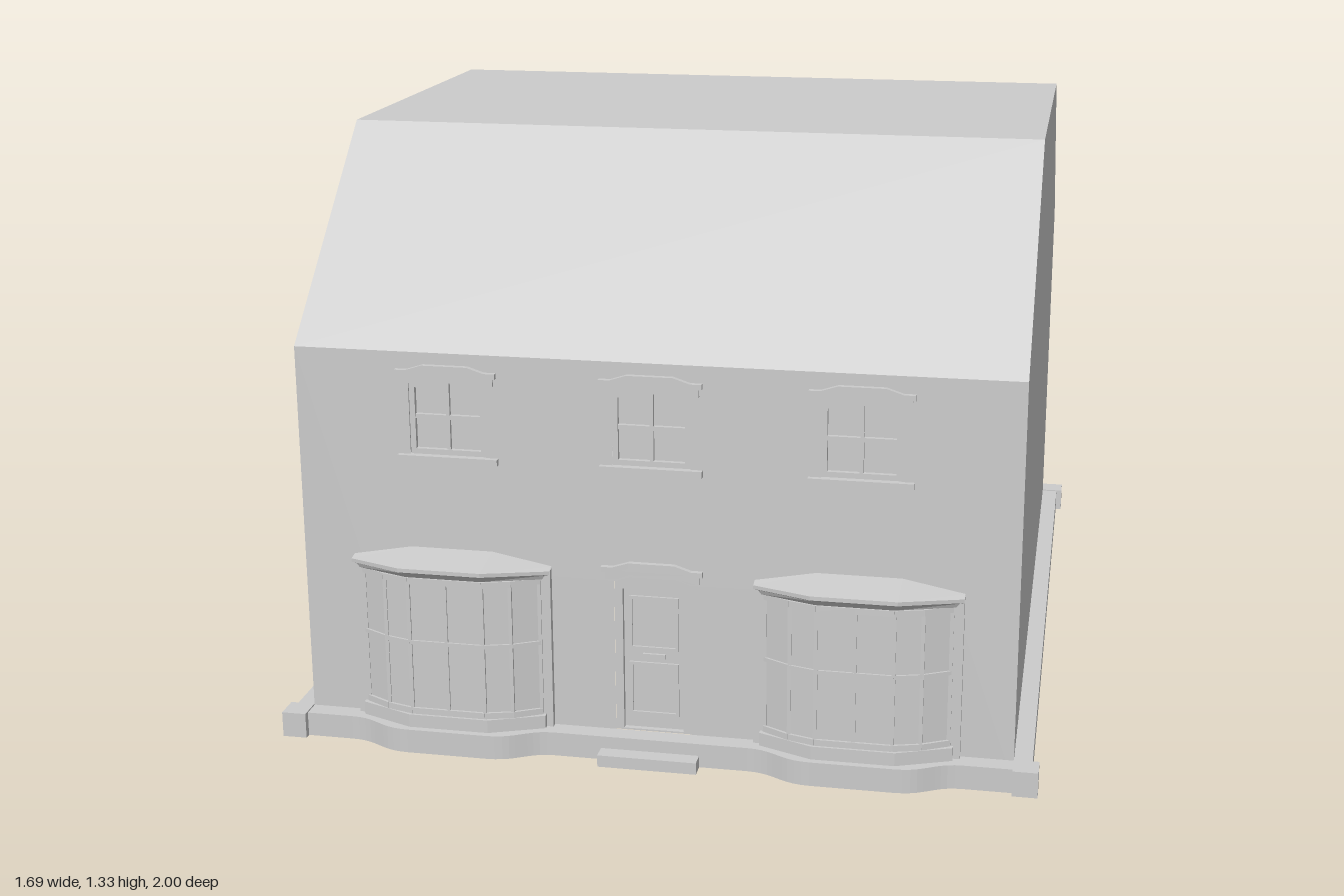
import * as THREE from 'three';

const mat = new THREE.MeshStandardMaterial({ color: 0xcccccc, side: THREE.DoubleSide, flatShading: true });
const W = 0.79, D = 0.9, EAVE = 0.9, RIDGE = 1.325, FLAT = 0.45, BASE = 0.055;

function add(parent, name, geometry, x = 0, y = 0, z = 0) {
  const mesh = new THREE.Mesh(geometry, mat);
  mesh.name = name;
  mesh.position.set(x, y, z);
  parent.add(mesh);
  return mesh;
}
// box given by its limits
function block(parent, name, x0, x1, y0, y1, z0, z1) {
  return add(parent, name, new THREE.BoxGeometry(x1 - x0, y1 - y0, z1 - z0), (x0 + x1) / 2, (y0 + y1) / 2, (z0 + z1) / 2);
}
const poly = (pts, Type = THREE.Shape) => new Type(pts.map(p => new THREE.Vector2(...p)));
const rect = (x0, x1, y0, y1) => [[x0, y0], [x1, y0], [x1, y1], [x0, y1]];
const extrude = (shape, depth) => new THREE.ExtrudeGeometry(shape, { depth, bevelEnabled: false, curveSegments: 10 });
// plan shapes are drawn as (x, -z) and pulled upwards
const plan = (shape, height) => extrude(shape, height).rotateX(-Math.PI / 2);

// opening with a shallow arched head
const arched = (x, w, y0, y1, rise = 0.012) =>
  [[x - w, y0], [x + w, y0], [x + w, y1], [x + w * 0.6, y1 + rise], [x - w * 0.6, y1 + rise], [x - w, y1]];

function frame(parent, name, outer, inner, depth, z) {
  const shape = poly(outer);
  shape.holes.push(poly(inner, THREE.Path));
  return add(parent, name, extrude(shape, depth), 0, 0, z);
}

// stepped hood moulding, bottom of its ends at y = 0
function hood(parent, x, y) {
  const band = (w, lo, hi) => {
    const top = [[w, hi], [w - 0.025, hi], [0.05, hi + 0.012]];
    const low = [[w, lo], [w - 0.025, lo], [0.05, lo + 0.012]];
    const right = [...low].reverse().concat(top);
    return poly(right.concat([...right].reverse().map(([a, b]) => [-a, b])));
  };
  add(parent, 'hoodLower', extrude(band(0.105, 0, 0.02), 0.006), x, y, D);
  add(parent, 'hoodUpper', extrude(band(0.112, 0.018, 0.03), 0.012), x, y, D);
}

function sashWindow(parent, x) {
  const g = new THREE.Group();
  g.name = 'upperWindow';
  parent.add(g);
  frame(g, 'windowFrame', arched(x, 0.085, 0.67, 0.832), arched(x, 0.073, 0.682, 0.82), 0.014, D - 0.018);
  add(g, 'windowGlass', new THREE.ShapeGeometry(poly(arched(x, 0.085, 0.67, 0.832))), 0, 0, D - 0.015);
  block(g, 'windowMullion', x - 0.004, x + 0.004, 0.675, 0.838, D - 0.018, D - 0.006);
  block(g, 'windowTransom', x - 0.08, x + 0.08, 0.75, 0.76, D - 0.018, D - 0.005);
  block(g, 'windowSill', x - 0.112, x + 0.112, 0.655, 0.67, D - 0.01, D + 0.012);
  hood(g, x, 0.832);
}

function door(parent) {
  const g = new THREE.Group();
  g.name = 'door';
  parent.add(g);
  frame(g, 'doorFrame', arched(0, 0.085, BASE, 0.405), arched(0, 0.067, BASE + 0.004, 0.388), 0.018, D - 0.02);
  add(g, 'doorLeaf', new THREE.ShapeGeometry(poly(arched(0, 0.085, BASE, 0.405))), 0, 0, D - 0.014);
  for (const [y0, y1] of [[0.09, 0.215], [0.245, 0.37]])
    frame(g, 'doorPanel', rect(-0.055, 0.055, y0, y1), rect(-0.048, 0.048, y0 + 0.007, y1 - 0.007), 0.005, D - 0.014);
  block(g, 'letterPlate', -0.025, 0.025, 0.225, 0.236, D - 0.014, D - 0.008);
  block(g, 'doorStep', -0.11, 0.11, 0, 0.027, 0.94, 0.98);
  hood(g, 0, 0.411);
}

// strips between rows of points
function loft(rows) {
  const pos = [], index = [], n = rows[0].length;
  rows.forEach(r => r.forEach(p => pos.push(...p)));
  for (let r = 0; r < rows.length - 1; r++)
    for (let i = 0; i < n - 1; i++) {
      const a = r * n + i, b = a + n;
      index.push(a, a + 1, b + 1, a, b + 1, b);
    }
  const g = new THREE.BufferGeometry();
  g.setAttribute('position', new THREE.Float32BufferAttribute(pos, 3));
  g.setIndex(index);
  const flat = g.toNonIndexed();
  flat.computeVertexNormals();
  return flat;
}

function bayWindow(parent, x) {
  const g = new THREE.Group();
  g.name = 'bayWindow';
  g.position.x = x;
  parent.add(g);
  const y0 = 0.085, y1 = 0.407;
  frame(g, 'bayFrame', rect(-0.225, 0.225, BASE, 0.425), rect(-0.203, 0.203, y0, y1), 0.014, D);
  add(g, 'baySill', plan(poly([[-0.21, -D], [-0.21, -0.925], [-0.09, -0.972], [0.09, -0.972], [0.21, -0.925], [0.21, -D]]), 0.03), 0, BASE, 0);

  // glazing follows a bowed plan
  const half = [[0.2, 0.912], [0.142, 0.943], [0.083, 0.96]];
  const path = [...half.map(([a, z]) => [-a, z]), [0, 0.96], ...[...half].reverse()];
  path.forEach(([a, z]) => block(g, 'bayMullion', a - 0.004, a + 0.004, y0, y1, z - 0.006, z + 0.005));
  for (let i = 0; i < path.length - 1; i++) {
    const [ax, az] = path[i], [bx, bz] = path[i + 1];
    const len = Math.hypot(bx - ax, bz - az), turn = -Math.atan2(bz - az, bx - ax);
    const strip = (name, y, h, d) => {
      add(g, name, new THREE.BoxGeometry(len, h, d), (ax + bx) / 2, y, (az + bz) / 2).rotation.y = turn;
    };
    strip('bayGlass', (y0 + y1) / 2, y1 - y0, 0.002);
    strip('bayTransom', 0.255, 0.009, 0.011);
    strip('bayBottomRail', 0.092, 0.014, 0.013);
    strip('bayTopRail', 0.4, 0.014, 0.013);
  }

  // flared cornice and lean-to roof
  const row = (w, z, y, wc, zc, yc) => [[-w, y, z], [-wc, yc, zc], [wc, yc, zc], [w, y, z]];
  add(g, 'bayRoof', loft([
    row(0.205, D, 0.405, 0.09, D, 0.405),
    row(0.208, 0.918, 0.405, 0.085, 0.97, 0.41),
    row(0.215, 0.92, 0.415, 0.088, 0.98, 0.422),
    row(0.225, 0.922, 0.418, 0.092, 1.0, 0.432),
    row(0.225, 0.922, 0.426, 0.092, 1.0, 0.441),
    row(0.225, D, 0.43, 0.092, D, 0.455),
  ]));
}

function facade(name) {
  const g = new THREE.Group();
  g.name = name;
  const wall = poly(rect(-W, W, 0, EAVE));
  const cut = pts => wall.holes.push(poly(pts, THREE.Path));
  cut(arched(0, 0.085, BASE, 0.405));
  for (const x of [-0.45, 0, 0.45]) {
    cut(arched(x, 0.085, 0.67, 0.832));
    sashWindow(g, x);
    if (x) {
      cut(rect(x - 0.203, x + 0.203, 0.085, 0.407));
      bayWindow(g, x);
    }
  }
  add(g, 'wall', new THREE.ShapeGeometry(wall), 0, 0, D);
  door(g);
  // sloping roof side
  const rise = RIDGE - EAVE, run = D - FLAT;
  add(g, 'roofSlope', new THREE.PlaneGeometry(2 * W, Math.hypot(rise, run)), 0, (EAVE + RIDGE) / 2, (D + FLAT) / 2)
    .rotation.x = -Math.atan2(run, rise);
  return g;
}

// plinth ring, swelling below each bay
function plinth() {
  const s = new THREE.Shape(), z = 0.943, out = 0.987, X = 0.83;
  s.moveTo(-X, -z);
  const side = k => {
    for (const c of [-0.45, 0.45]) {
      const u = k * c;
      s.lineTo(u - k * 0.235, -k * z);
      s.bezierCurveTo(u - k * 0.17, -k * z, u - k * 0.16, -k * out, u - k * 0.09, -k * out);
      s.lineTo(u + k * 0.09, -k * out);
      s.bezierCurveTo(u + k * 0.16, -k * out, u + k * 0.17, -k * z, u + k * 0.235, -k * z);
    }
    s.lineTo(k * X, -k * z);
  };
  side(1);
  s.lineTo(X, z);
  side(-1);
  s.holes.push(poly(rect(-W, W, -D, D), THREE.Path));
  return plan(s, BASE);
}

export function createModel() {
  const house = new THREE.Group();
  house.name = 'house';
  house.add(facade('frontFacade'));
  const back = facade('backFacade');
  back.rotation.y = Math.PI;
  house.add(back);

  // end walls and flat roof top
  const gable = poly([[-D, 0], [D, 0], [D, EAVE], [FLAT, RIDGE], [-FLAT, RIDGE], [-D, EAVE]]);
  for (const s of [-1, 1])
    add(house, s > 0 ? 'leftGable' : 'rightGable', new THREE.ShapeGeometry(gable).rotateY(s * Math.PI / 2), s * W);
  add(house, 'roofTop', new THREE.PlaneGeometry(2 * W, 2 * FLAT).rotateX(-Math.PI / 2), 0, RIDGE, 0);

  // base course with corner posts
  add(house, 'plinth', plinth());
  for (const sx of [-1, 1])
    for (const sz of [-1, 1])
      add(house, 'cornerPost', new THREE.BoxGeometry(0.055, 0.058, 0.056), sx * 0.817, 0.029, sz * 0.93);
  return house;
}
